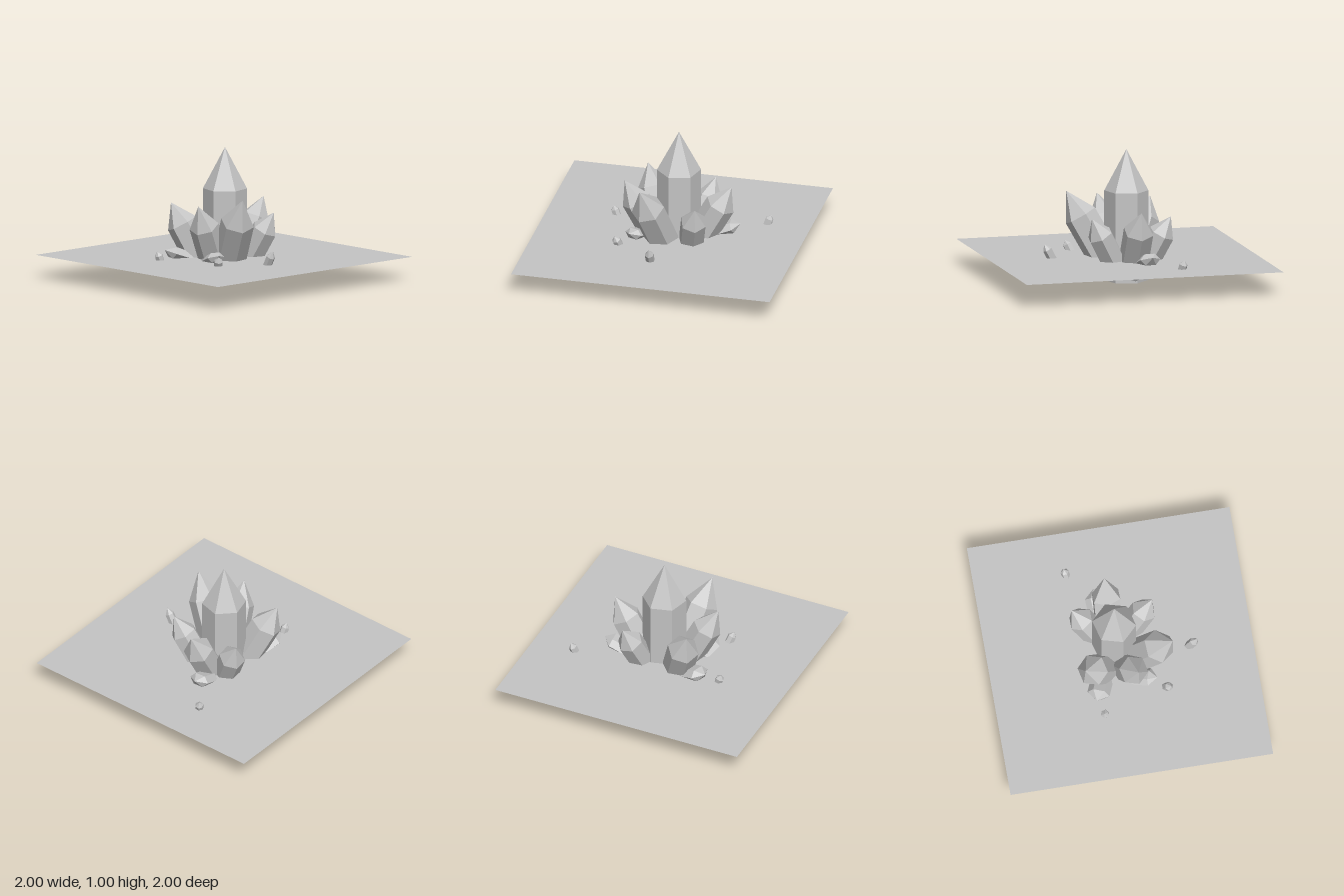
import * as THREE from 'three';

const V = (a) => new THREE.Vector3(...a);

// Six-sided pointed crystal running from base to tip; one edge faces the way it leans
function crystal(name, base, tip, radius, material, { spin = 0, flat = 1, shoulder = 0.685 } = {}) {
  const axis = V(tip).sub(V(base));
  const length = axis.length();
  axis.normalize();
  const profile = [[0, 0], [radius, 0], [radius, shoulder * length], [0, length]]
    .map(([r, y]) => new THREE.Vector2(r, y));
  const geometry = new THREE.LatheGeometry(profile, 6, spin);
  geometry.scale(1, 1, flat);
  geometry.rotateY(Math.atan2(axis.x, axis.z));
  const mesh = new THREE.Mesh(geometry, material);
  mesh.name = name;
  mesh.quaternion.setFromUnitVectors(new THREE.Vector3(0, 1, 0), axis);
  mesh.position.set(...base);
  return mesh;
}

export function createModel() {
  const model = new THREE.Group();
  model.name = 'crystalCluster';
  const stone = new THREE.MeshStandardMaterial({ color: 0xc4c4c4, flatShading: true, side: THREE.DoubleSide });
  stone.name = 'grey stone';

  // Ground sheet that the crystals pierce
  const ground = new THREE.Mesh(new THREE.PlaneGeometry(2, 2).rotateX(-Math.PI / 2), stone);
  ground.name = 'groundSheet';
  ground.position.y = 0.18;
  model.add(ground);

  // Upright central crystal
  model.add(crystal('centralCrystal', [0.045, 0, -0.037], [0.045, 1, -0.037], 0.166, stone, { spin: Math.PI / 4 }));

  // Ring of leaning crystals: base, tip, radius
  [
    [[-0.03, 0.075, 0.06], [-0.16, 0.665, 0.375], 0.127],
    [[0.175, 0.085, -0.045], [0.45, 0.58, -0.045], 0.115],
    [[0.16, 0.1, 0.065], [0.245, 0.515, 0.285], 0.1],
    [[-0.085, 0.085, 0.01], [-0.345, 0.605, 0.085], 0.112],
    [[-0.085, 0.08, -0.105], [-0.26, 0.58, -0.305], 0.12],
    [[0.155, 0.09, -0.125], [0.26, 0.51, -0.325], 0.1],
  ].forEach(([base, tip, r], i) => model.add(crystal(`leaningCrystal${i + 1}`, base, tip, r, stone)));

  // Flattened crystals lying between the leaning ones
  [
    [[0.31, 0.17, -0.105], [0.5, 0.245, -0.12], 0.08],
    [[-0.21, 0.17, 0.06], [-0.275, 0.24, 0.24], 0.07],
    [[-0.2, 0.17, -0.17], [-0.385, 0.24, -0.24], 0.085],
  ].forEach(([base, tip, r], i) =>
    model.add(crystal(`lyingCrystal${i + 1}`, base, tip, r, stone, { spin: Math.PI / 6, flat: 0.62 })));

  // Small scattered shards
  [
    [[-0.465, 0.148, -0.19], [-0.5, 0.245, -0.2], 0.032],
    [[0.655, 0.148, -0.295], [0.69, 0.248, -0.315], 0.032],
    [[-0.33, 0.15, 0.285], [-0.365, 0.25, 0.33], 0.034],
    [[-0.04, 0.148, 0.505], [-0.04, 0.29, 0.58], 0.034],
  ].forEach(([base, tip, r], i) => model.add(crystal(`shard${i + 1}`, base, tip, r, stone)));

  return model;
}
